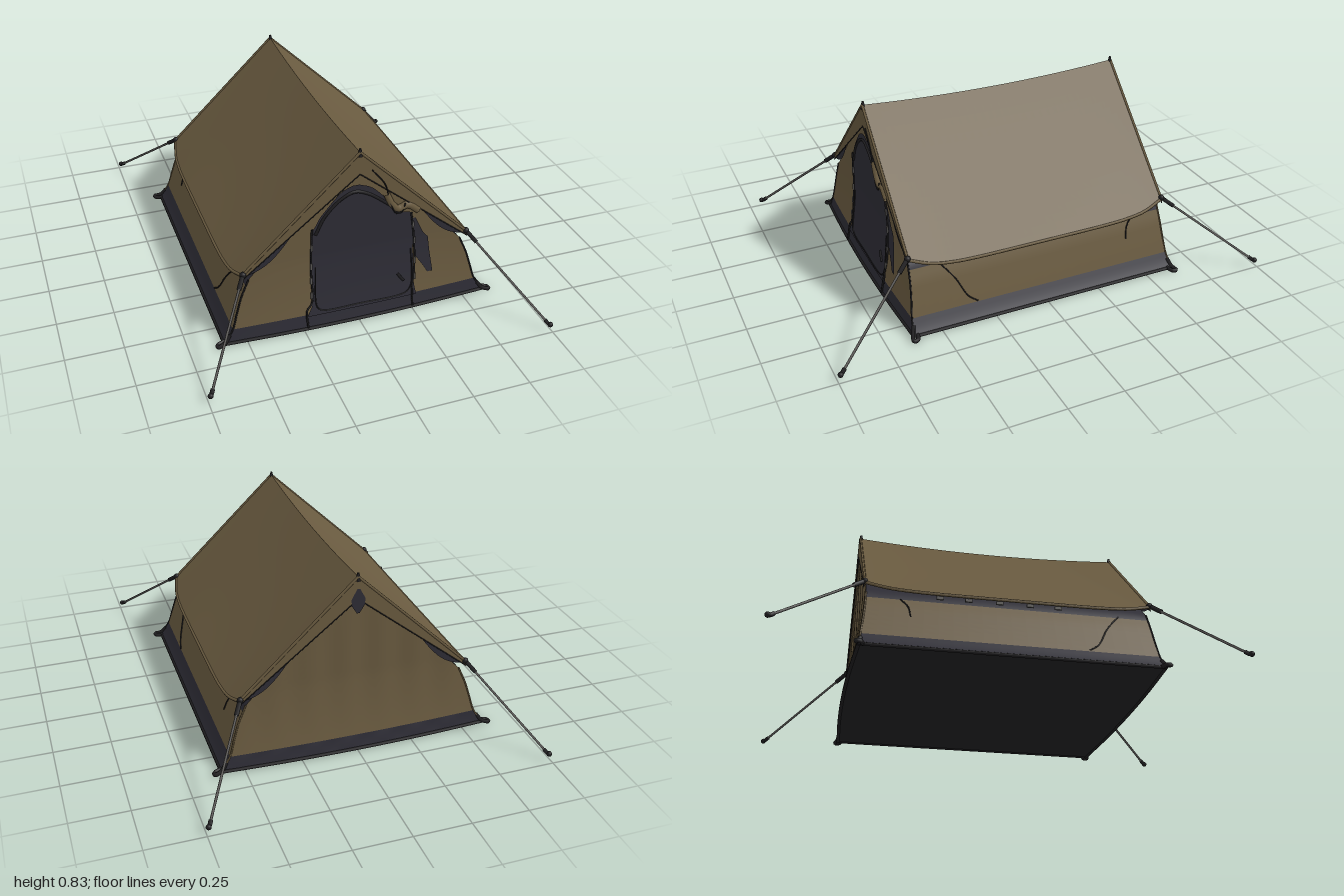
import * as THREE from 'three';

const mat = (name, color, side = THREE.DoubleSide) => {
  const m = new THREE.MeshStandardMaterial({ color, side });
  m.name = name;
  return m;
};
const V = (x, y, z) => new THREE.Vector3(x, y, z);
const lerp = THREE.MathUtils.lerp;

// piecewise linear lookup in rows of [key, value, value...]
function look(rows, k, col = 1) {
  for (let i = 1; i < rows.length; i++) {
    const a = rows[i - 1], b = rows[i];
    if (k <= b[0]) return lerp(a[col], b[col], Math.max(0, (k - a[0]) / (b[0] - a[0])));
  }
  return rows[rows.length - 1][col];
}

// smooth sheet from a rule fn(u, v) -> Vector3
function sheet(nu, nv, fn) {
  const pos = [], idx = [];
  for (let j = 0; j <= nv; j++)
    for (let i = 0; i <= nu; i++) pos.push(...fn(i / nu, j / nv).toArray());
  for (let j = 0; j < nv; j++)
    for (let i = 0; i < nu; i++) {
      const a = j * (nu + 1) + i, b = a + nu + 1;
      idx.push(a, a + 1, b, a + 1, b + 1, b);
    }
  const g = new THREE.BufferGeometry();
  g.setAttribute('position', new THREE.Float32BufferAttribute(pos, 3));
  g.setIndex(idx);
  g.computeVertexNormals();
  return g;
}

// body half-width by height, and end-wall depth
const WIDTH = [[0.01, 0.605], [0.035, 0.585], [0.075, 0.56], [0.14, 0.54], [0.22, 0.515], [0.3, 0.48], [0.79, 0]];
const width = y => look(WIDTH, y);
const depth = (x, y) => {
  const k = Math.max(0, 1 - y / 0.35), u = x / 0.6;
  return 0.6 + 0.03 * k * k + 0.02 * k * (1 - u * u);
};
// roof surface: t from ridge to eave, s along the length -1..1
const END = 0.612;
function roofAt(t, s) {
  const c = s ** 6;
  return V((0.545 - 0.035 * c) * t,
    lerp(0.793 + 0.024 * s * s, 0.285 + 0.045 * c, t) - 0.008 * Math.sin(Math.PI * t) * (1 - s * s),
    END * s);
}
const drop = t => 0.02 + 0.08 * (1 - t);

export function createModel() {
  const root = new THREE.Group();
  root.name = 'tent';
  const canvas = mat('olive canvas', 0x6a5b40);
  const navy = mat('dark groundsheet fabric', 0x2e2d36);
  const black = mat('black trim', 0x1f1e20);
  const floorMat = mat('floor', 0x222224);
  const grey = mat('grey cord', 0x5c5a58);
  const add = (name, geo, m, parent = root) => {
    const o = new THREE.Mesh(geo, m);
    o.name = name;
    parent.add(o);
    return o;
  };
  const tube = (name, pts, r, m, seg = 24) =>
    add(name, new THREE.TubeGeometry(new THREE.CatmullRomCurve3(pts), seg, r, 6), m);
  const ball = (name, p, r, m) => add(name, new THREE.SphereGeometry(r, 10, 8), m).position.copy(p);

  // floor, following the footprint
  add('floor', sheet(24, 4, (u, v) => {
    const x = lerp(-0.605, 0.605, u);
    return V(x, 0.01, lerp(-1, 1, v) * depth(x, 0.01));
  }), floorMat);

  // end walls and their dark lower bands
  for (const e of [1, -1]) {
    const end = e > 0 ? 'front' : 'back';
    const wall = (y0, y1, n) => sheet(32, n, (u, v) => {
      const y = lerp(y0, y1, v), x = lerp(-1, 1, u) * width(y);
      const fold = e < 0 ? 0.003 * Math.sin(x * 40) * Math.sin(Math.PI * v) : 0;
      return V(x, y, e * (depth(x, y) + fold));
    });
    add(end + 'Wall', wall(0.075, 0.79, 28), canvas);
    add(end + 'Skirt', wall(0.01, 0.075, 4), navy);
    // valance under the roof edge
    for (const s of [1, -1]) {
      add(end + 'Valance', sheet(16, 2, (u, v) => {
        const p = roofAt(u, e);
        return V(s * p.x, p.y - v * drop(u), p.z);
      }), canvas);
      const line = [0, 0.2, 0.4, 0.6, 0.8, 1].map(t => {
        const p = roofAt(t, e);
        return V(s * p.x, p.y - drop(t), p.z);
      });
      tube(end + 'ValanceSeam', line, 0.0025, black);
      // shaded mesh gap below the valance
      add(end + 'MeshGap', sheet(14, 1, (u, v) => {
        const t = lerp(0.55, 0.97, u), p = roofAt(t, e);
        return V(s * p.x, p.y - drop(t) * 0.9 - v * 0.04 * Math.sin(Math.PI * u), p.z - e * 0.003);
      }), navy);
      // roof edge hem
      tube(end + 'RoofHem', [0, 0.25, 0.5, 0.75, 1].map(t => {
        const p = roofAt(t, e);
        return V(s * p.x, p.y, p.z - e * 0.003);
      }), 0.006, canvas);
    }
    // ridge pole tip
    add('ridgeTip', new THREE.CylinderGeometry(0.005, 0.011, 0.035, 8), black).position.set(0, 0.815, e * 0.606);
  }

  // side walls, dark band, dark vent strip, roof halves
  for (const s of [1, -1]) {
    const side = (y0, y1, n) => sheet(20, n, (u, v) => {
      const y = lerp(y0, y1, v), w = width(y);
      return V(s * w, y, lerp(-1, 1, u) * depth(w, y));
    });
    add('sideWall', side(0.075, 0.27, 8), canvas);
    add('sideSkirt', side(0.01, 0.075, 4), navy);
    add('sideVent', side(0.27, 0.37, 4), navy);
    add('roof', sheet(20, 32, (u, v) => {
      const p = roofAt(u, lerp(-1, 1, v));
      p.x *= s;
      return p;
    }), canvas);
    const eave = [];
    for (let i = 0; i <= 12; i++) {
      const p = roofAt(1, lerp(-1, 1, i / 12));
      eave.push(V(s * (p.x - 0.004), p.y, p.z));
    }
    tube('eaveHem', eave, 0.007, canvas, 40);
    // toggles hanging below the eave
    for (const z of [-0.3, -0.18, -0.05, 0.08, 0.2])
      add('toggle', new THREE.BoxGeometry(0.008, 0.014, 0.03), grey).position.set(s * 0.525, 0.276, z);
    // window tie cords
    const cord = pts => tube('sideCord', pts.map(([z, y]) => V(s * (width(y) + 0.003), y, z)), 0.003, black);
    cord([[0.47, 0.275], [0.41, 0.2], [0.36, 0.11], [0.32, 0.08]]);
    cord([[-0.46, 0.27], [-0.43, 0.23], [-0.42, 0.18]]);
  }

  // panels laid on an end wall, rows of [y, xLeft, xRight]
  const panel = (name, rows, e, off, m) => add(name, sheet(10, 40, (u, v) => {
    const y = lerp(rows[0][0], rows[rows.length - 1][0], v);
    const x = lerp(look(rows, y, 1), look(rows, y, 2), u);
    return V(x, y, e * (depth(x, y) + off));
  }), m);
  panel('door', [[0.07, -0.235, 0.27], [0.12, -0.21, 0.26], [0.44, -0.205, 0.25], [0.485, -0.2, 0.24], [0.5, -0.19, 0.165],
    [0.54, -0.17, 0.15], [0.6, -0.12, 0.1], [0.645, -0.08, 0.055], [0.665, -0.03, 0]], 1, 0.006, navy);
  panel('doorSidePatch', [[0.165, 0.325, 0.35], [0.2, 0.305, 0.345], [0.26, 0.265, 0.335], [0.34, 0.25, 0.325],
    [0.37, 0.25, 0.3], [0.45, 0.245, 0.262]], 1, 0.005, navy);
  panel('backVent', [[0.655, -0.006, 0.006], [0.69, -0.028, 0.028], [0.72, -0.03, 0.03], [0.765, -0.006, 0.006]], -1, 0.016, navy);

  // door seams, zips, and rolled flap
  const onDoor = (name, pts, r, m, off = 0.007) =>
    tube(name, pts.map(([x, y]) => V(x, y, depth(x, y) + off)), r, m, 48);
  onDoor('doorSeam', [[-0.19, 0.3], [-0.19, 0.11], [-0.17, 0.09], [0, 0.085], [0.22, 0.09], [0.245, 0.12], [0.245, 0.3]], 0.003, black);
  onDoor('doorArch', [[-0.19, 0.46], [-0.15, 0.54], [-0.08, 0.61], [-0.02, 0.635], [0.04, 0.615], [0.14, 0.54]], 0.007, black);
  onDoor('doorZip', [[-0.235, 0.02], [-0.235, 0.1], [-0.213, 0.13], [-0.21, 0.3], [-0.205, 0.49]], 0.0045, black);
  onDoor('doorZip', [[0.25, 0.02], [0.25, 0.1], [0.262, 0.2], [0.258, 0.35], [0.24, 0.48]], 0.0045, black);
  for (const [x, y] of [[-0.213, 0.17], [-0.212, 0.24], [-0.21, 0.31], [-0.207, 0.4], [0.262, 0.16], [0.262, 0.24], [0.26, 0.34], [0.25, 0.42]])
    add('zipGlint', new THREE.BoxGeometry(0.008, 0.03, 0.006), grey).position.set(x, y, depth(x, y) + 0.01);
  onDoor('rolledFlap', [[0.12, 0.6], [0.15, 0.54], [0.18, 0.515], [0.22, 0.525], [0.27, 0.49]], 0.016, canvas);
  onDoor('flapTie', [[0.05, 0.73], [0.11, 0.65], [0.135, 0.56], [0.165, 0.5], [0.19, 0.5], [0.205, 0.54]], 0.003, black, 0.018);
  onDoor('doorPull', [[0.18, 0.19], [0.195, 0.17], [0.21, 0.15]], 0.007, black);

  // guy lines, pegs and corner loops
  for (const sx of [1, -1]) for (const sz of [1, -1]) {
    const top = V(sx * 0.505, 0.335, sz * 0.61);
    const foot = V(sx * 0.735, 0.04, sz * (sx > 0 ? 0.98 : sz > 0 ? 0.935 : 0.97));
    tube('guyLine', [top, top.clone().lerp(foot, 0.5), foot], 0.0055, grey, 8);
    tube('guySlider', [top.clone().lerp(foot, 0.02), top.clone().lerp(foot, 0.13)], 0.01, black, 4);
    ball('eaveRing', top, 0.014, black);
    tube('peg', [foot.clone().lerp(top, 0.04), foot, foot.clone().add(V(sx * 0.008, -0.003, sz * 0.01))], 0.009, black, 6);
    ball('pegHead', foot.clone().add(V(sx * 0.006, -0.002, sz * 0.008)), 0.012, black);
    tube('cornerLoop', [V(sx * 0.575, 0.05, sz * 0.62), V(sx * 0.6, 0.02, sz * 0.632),
      V(sx * 0.63, 0.012, sz * 0.64), V(sx * 0.628, 0.012, sz * 0.622), V(sx * 0.595, 0.014, sz * 0.61)], 0.009, black, 20);
    // corner post seam
    const post = [0.02, 0.075, 0.15, 0.22, 0.3].map(y => V(sx * width(y), y, sz * depth(width(y), y)));
    tube('cornerSeam', post, 0.004, sz > 0 ? black : canvas);
  }
  // base edge strap
  for (const e of [1, -1])
    tube('baseStrap', [-0.6, -0.3, 0, 0.3, 0.6].map(x => V(x, 0.012, e * depth(x, 0.012))), 0.008, black);
  for (const s of [1, -1])
    tube('baseStrap', [V(s * 0.6, 0.012, -0.62), V(s * 0.6, 0.012, 0), V(s * 0.6, 0.012, 0.62)], 0.008, black);
  return root;
}
